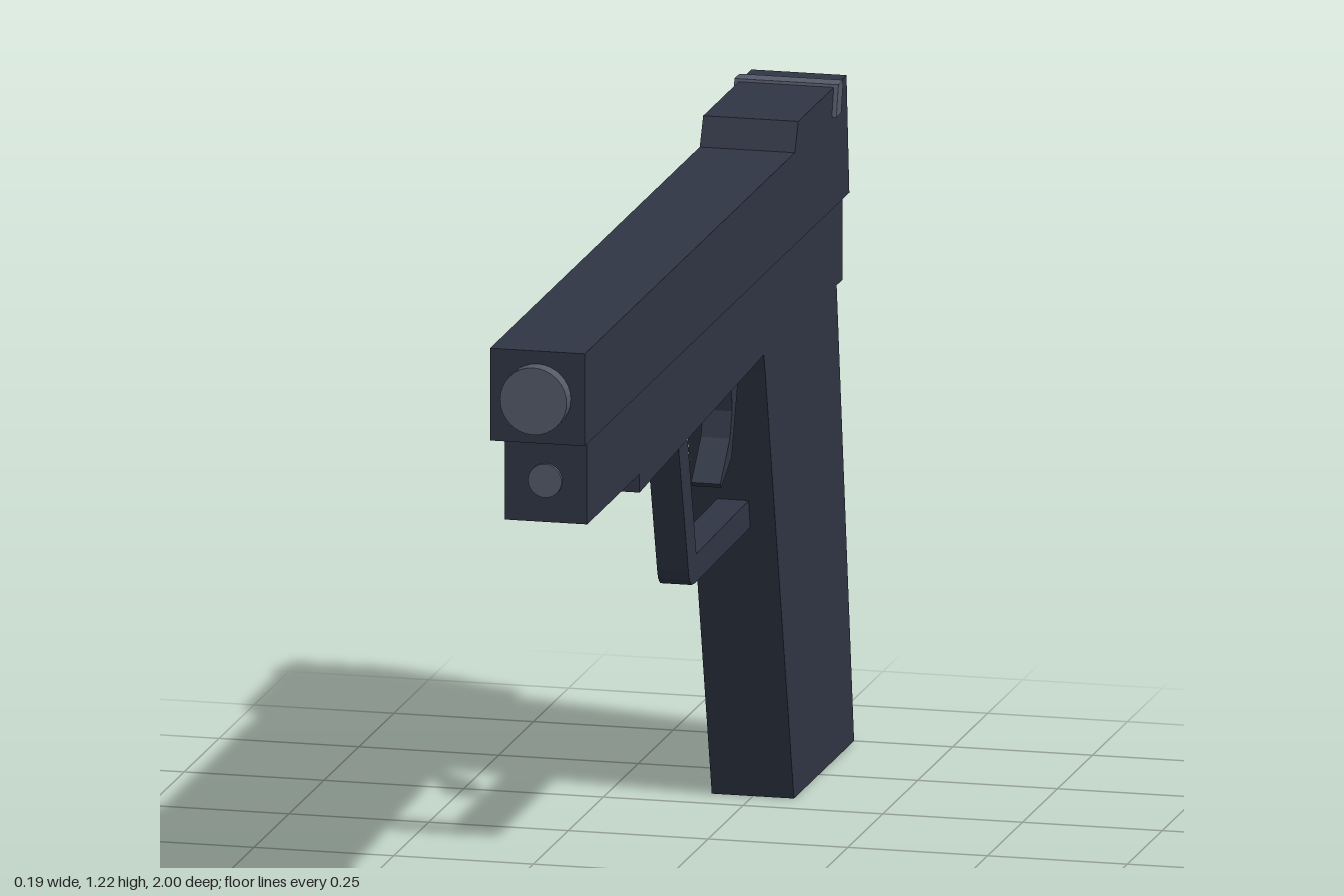
import * as THREE from 'three';
import { ConvexGeometry } from 'three/addons/geometries/ConvexGeometry.js';

const dark = new THREE.MeshStandardMaterial({ color: 0x2f3544, flatShading: true });
const light = new THREE.MeshStandardMaterial({ color: 0x555a69, flatShading: true });

export function createModel() {
  const group = new THREE.Group();

  function add(name, geometry, material = dark) {
    const mesh = new THREE.Mesh(geometry, material);
    mesh.name = name;
    group.add(mesh);
    return mesh;
  }

  // Side profile of [z, y] points, extruded symmetrically across x
  function plate(name, points, width, material) {
    const shape = new THREE.Shape(points.map(([z, y]) => new THREE.Vector2(z, y)));
    const geometry = new THREE.ExtrudeGeometry(shape, { depth: width, bevelEnabled: false });
    geometry.translate(0, 0, -width / 2).rotateY(-Math.PI / 2);
    return add(name, geometry, material);
  }

  // Round part lying along z
  function rod(name, radius, y, back, front) {
    const geometry = new THREE.CylinderGeometry(radius, radius, front - back, 32);
    geometry.rotateX(Math.PI / 2).translate(0, y, (front + back) / 2);
    return add(name, geometry, light);
  }

  // Upper body with the raised rear
  plate('slide', [
    [0.97, 1.0], [0.97, 1.165], [-0.53, 1.165], [-0.555, 1.215],
    [-0.9, 1.215], [-0.92, 1.0],
  ], 0.17);
  plate('rearSight', [
    [-0.795, 1.165], [-0.81, 1.22], [-0.845, 1.22], [-0.83, 1.165],
  ], 0.186, light);
  rod('muzzle', 0.06, 1.082, 0.9, 1.0);

  // Lower body and handle
  plate('frame', [[0.91, 0.845], [0.91, 1.0], [-0.917, 1.0], [-0.917, 0.845]], 0.148);
  rod('guideRod', 0.03, 0.92, 0.85, 0.917);
  plate('grip', [
    [-0.35, 0.86], [-0.365, 0.81], [-0.57, 0], [-1.0, 0], [-0.873, 0.86],
  ], 0.147);

  // Underside wedge: full width in front, its bottom narrowing to the rear
  const wedge = [];
  for (const s of [-1, 1]) {
    wedge.push(
      new THREE.Vector3(s * 0.074, 0.846, 0.535),
      new THREE.Vector3(s * 0.074, 0.812, 0.535),
      new THREE.Vector3(s * 0.074, 0.846, -0.32),
      new THREE.Vector3(s * 0.025, 0.812, -0.37),
      new THREE.Vector3(s * 0.074, 0.846, -0.37),
    );
  }
  add('undersideWedge', new ConvexGeometry(wedge));

  // Bent guard bar and trigger
  plate('triggerGuard', [
    [0.085, 0.82], [0.002, 0.54], [-0.005, 0.523], [-0.02, 0.511], [-0.045, 0.508],
    [-0.46, 0.514], [-0.46, 0.565], [-0.055, 0.558], [0.02, 0.82],
  ], 0.056);
  plate('trigger', [
    [-0.31, 0.82], [-0.318, 0.75], [-0.302, 0.705], [-0.233, 0.64], [-0.24, 0.632],
    [-0.315, 0.668], [-0.33, 0.71], [-0.368, 0.82],
  ], 0.052);

  return group;
}
